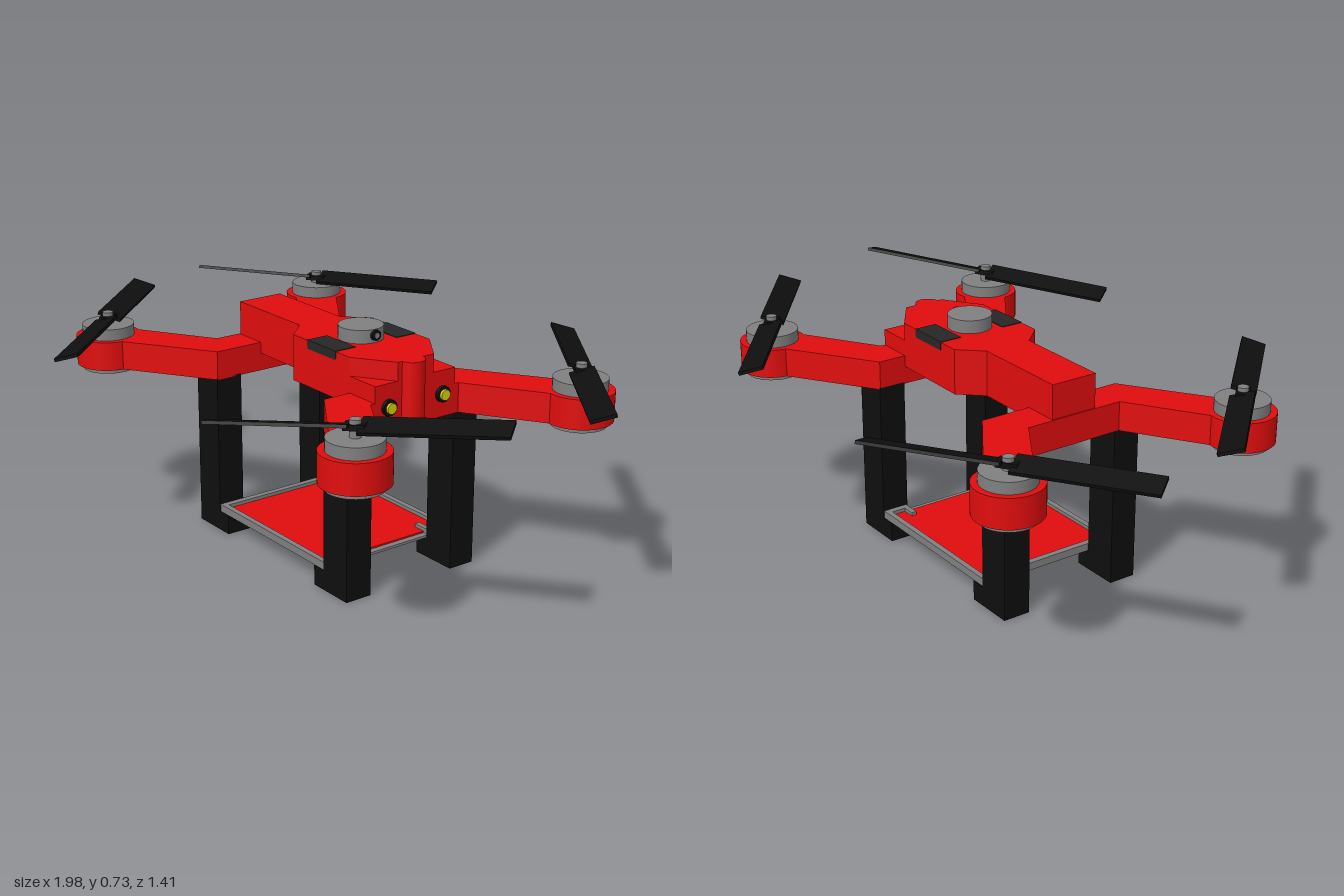
import * as THREE from 'three';

const paint = (color) => new THREE.MeshStandardMaterial({ color });

export function createModel() {
  const red = paint(0xe00d0d), black = paint(0x0e0e0e), vent = paint(0x262626);
  const grey = paint(0x808080), yellow = paint(0xd8d000);
  const root = new THREE.Group();
  root.name = 'quadcopter';
  const drone = new THREE.Group();
  drone.name = 'airframe';
  drone.position.set(-0.01, 0, -0.0125);
  root.add(drone);

  const put = (name, geo, mat, parent = drone) => {
    const m = new THREE.Mesh(geo, mat);
    m.name = name;
    parent.add(m);
    return m;
  };
  // Box given by its lower and upper limits
  const box = (name, mat, x0, x1, y0, y1, z0, z1, parent) =>
    put(name, new THREE.BoxGeometry(x1 - x0, y1 - y0, z1 - z0)
      .translate((x0 + x1) / 2, (y0 + y1) / 2, (z0 + z1) / 2), mat, parent);
  // Upright cylinder between two heights
  const disc = (name, mat, r, y0, y1, x, z, parent) =>
    put(name, new THREE.CylinderGeometry(r, r, y1 - y0, 40).translate(x, (y0 + y1) / 2, z), mat, parent);
  // Plan outline of [x, z] points raised between two heights
  const slab = (name, mat, pts, y0, y1, parent) => {
    const shape = new THREE.Shape(pts.map(([x, z]) => new THREE.Vector2(x, -z)));
    const geo = new THREE.ExtrudeGeometry(shape, { depth: y1 - y0, bevelEnabled: false });
    return put(name, geo.rotateX(-Math.PI / 2).translate(0, y0, 0), mat, parent);
  };

  // Hull: narrow tail, wide middle, tapered front
  const half = [[-0.38, 0.075], [-0.065, 0.075], [0, 0.145], [0.27, 0.145], [0.385, 0.065]];
  const hull = [...half, ...half.map(([x, z]) => [x, -z]).reverse()];
  slab('hull', red, hull, 0.55, 0.69);
  box('noseBlock', red, 0.27, 0.385, 0.495, 0.635, -0.145, 0.145);
  disc('nosePost', red, 0.038, 0.495, 0.69, 0.382, 0.012);

  // Top vents, sensor dome and its lens
  for (const s of [-1, 1]) {
    box('vent', vent, 0.07, 0.205, 0.665, 0.692, Math.min(s * 0.075, s * 0.146), Math.max(s * 0.075, s * 0.146));
  }
  disc('sensorDisc', grey, 0.067, 0.69, 0.73, 0.137, 0.003);
  const eye = (name, mat, r, x0, x1, y, z) => {
    const m = put(name, new THREE.CylinderGeometry(r, r, x1 - x0, 24).rotateZ(Math.PI / 2), mat);
    m.position.set((x0 + x1) / 2, y, z);
  };
  eye('lensRing', black, 0.016, 0.19, 0.212, 0.713, 0.003);
  eye('lens', grey, 0.008, 0.2, 0.214, 0.713, 0.003);

  // Headlights
  for (const s of [-1, 1]) {
    eye('lightRing', black, 0.024, 0.38, 0.396, 0.565, s * 0.0975);
    eye('lightBulb', yellow, 0.016, 0.38, 0.404, 0.565, s * 0.0975);
  }

  // Cross beams carrying the arms
  for (const s of [-1, 1]) {
    slab('crossBeam', red, [[0.27, -0.235], [0.385, -0.16], [0.385, 0.16], [0.27, 0.235]]
      .map(([x, z]) => [s * x, s * z]).reverse(), 0.495, 0.585);
  }

  // Corner assemblies: arm, motor, leg, propeller [sideX, sideZ, heading, tilt, height]
  const corners = [
    [-1, -1, 0.603, 0, 0.636], [1, -1, -0.64, 0, 0.642],
    [-1, 1, -0.82, 0, 0.636], [1, 1, 0.614, 0.085, 0.65],
  ];
  for (const [sx, sz, heading, tilt, h] of corners) {
    const mx = sx * 0.63, mz = sz * 0.403;
    const corner = new THREE.Group();
    corner.name = 'cornerAssembly';
    drone.add(corner);

    slab('arm', red, [[0.27, 0.235], [0.385, 0.16], [0.655, 0.333], [0.56, 0.432]]
      .map(([x, z]) => [sx * x, sz * z]), 0.495, 0.585, corner);
    disc('motorPod', red, 0.1, 0.495, 0.585, mx, mz, corner);
    disc('motorBase', grey, 0.083, 0.48, 0.495, mx, mz, corner);
    disc('motorBell', grey, 0.08, 0.585, 0.62, mx, mz, corner);
    disc('motorShaft', grey, 0.016, 0.62, h + 0.02, mx, mz, corner);

    // Leg with a foot turned inward under the tray
    const span = (a, b, s) => [Math.min(s * a, s * b), Math.max(s * a, s * b)];
    box('leg', black, ...span(0.27, 0.38, sx), 0, 0.5, ...span(0.15, 0.237, sz), corner);
    box('foot', black, ...span(0.225, 0.27, sx), 0, 0.062, ...span(0.15, 0.237, sz), corner);

    // Two pitched blades on a shared hub
    const prop = new THREE.Group();
    prop.name = 'propeller';
    prop.position.set(mx, h, mz);
    prop.rotation.set(0, heading, tilt);
    corner.add(prop);
    for (const s of [-1, 1]) {
      const blade = put('blade', new THREE.BoxGeometry(0.4, 0.01, 0.074).translate(s * 0.212, 0, 0), black, prop);
      blade.rotation.x = s * 0.28;
    }
    box('bladeHub', black, -0.03, 0.03, -0.008, 0.008, -0.02, 0.02, prop);
  }

  // Cargo tray between the legs
  const tray = new THREE.Group();
  tray.name = 'tray';
  drone.add(tray);
  box('trayBase', grey, -0.27, 0.27, 0.062, 0.07, -0.235, 0.235, tray);
  box('trayFloor', red, -0.25, 0.25, 0.07, 0.075, -0.217, 0.217, tray);
  box('trayRearRim', grey, -0.27, -0.25, 0.062, 0.086, -0.235, 0.235, tray);
  for (const s of [-1, 1]) {
    const z = (a, b) => [Math.min(s * a, s * b), Math.max(s * a, s * b)];
    box('traySideRim', grey, -0.25, 0.27, 0.062, 0.086, ...z(0.217, 0.235), tray);
    box('trayFrontRim', grey, 0.25, 0.27, 0.062, 0.086, ...z(0.155, 0.217), tray);
    box('trayRimReturn', grey, 0.21, 0.25, 0.062, 0.086, ...z(0.155, 0.172), tray);
  }
  return root;
}
